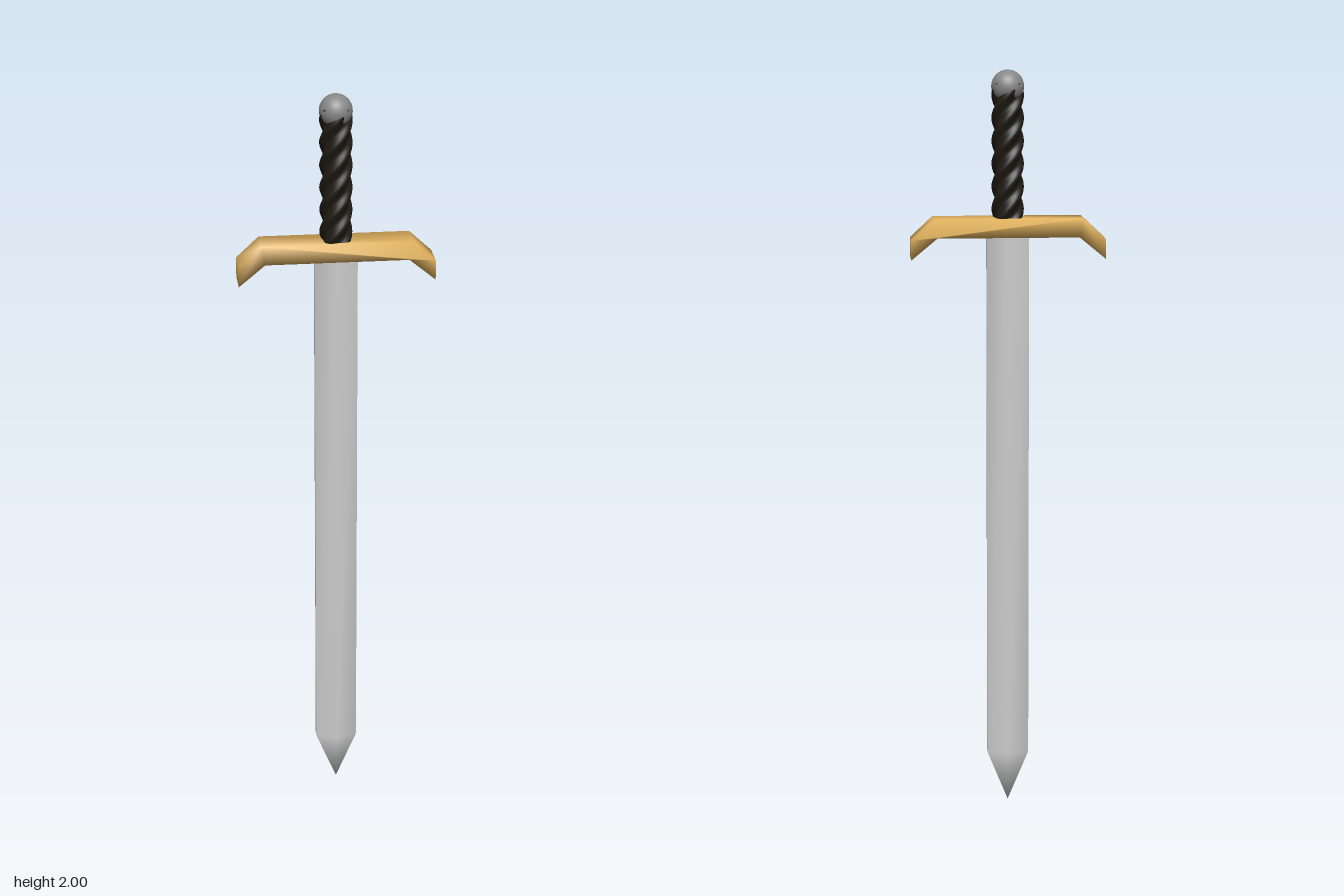
import * as THREE from 'three';
import { mergeVertices } from 'three/addons/utils/BufferGeometryUtils.js';

const material = (color) => new THREE.MeshStandardMaterial({ color });

// Share vertices so shading runs smoothly across the edges
function smooth(geometry) {
  geometry.deleteAttribute('normal');
  geometry.deleteAttribute('uv');
  const merged = mergeVertices(geometry, 1e-4);
  merged.computeVertexNormals();
  return merged;
}

function add(group, name, geometry, color) {
  const mesh = new THREE.Mesh(geometry, material(color));
  mesh.name = name;
  group.add(mesh);
  return mesh;
}

// Six-sided blade section lofted from the guard to the shoulder, then to the point
function bladeGeometry() {
  const section = [[0.056, 0.011], [0, 0.029], [-0.056, 0.011], [-0.056, -0.011], [0, -0.029], [0.056, -0.011]];
  const n = section.length;
  const positions = [], index = [];
  for (const y of [1.58, 0.14]) for (const [x, z] of section) positions.push(x, y, z);
  positions.push(0, 0, 0, 0, 1.58, 0);
  const tip = 2 * n, cap = tip + 1;
  for (let i = 0; i < n; i++) {
    const j = (i + 1) % n;
    index.push(i, n + j, n + i, i, j, n + j);
    index.push(n + i, n + j, tip);
    index.push(cap, j, i);
  }
  // Section runs clockwise seen from above, so reverse each face to point outward
  for (let k = 0; k < index.length; k += 3) [index[k + 1], index[k + 2]] = [index[k + 2], index[k + 1]];
  const geometry = new THREE.BufferGeometry();
  geometry.setAttribute('position', new THREE.Float32BufferAttribute(positions, 3));
  geometry.setIndex(index);
  geometry.computeVertexNormals();
  return geometry;
}

// Crossguard: mirrored bar outline with drooping ends, extruded in depth
function guardGeometry() {
  const half = [[0.187, 1.565], [0.256, 1.508], [0.256, 1.56], [0.197, 1.615]];
  const mirrored = half.map(([x, y]) => [-x, y]).reverse();
  const shape = new THREE.Shape([...half, ...mirrored].map(([x, y]) => new THREE.Vector2(x, y)));
  const geometry = new THREE.ExtrudeGeometry(shape, { depth: 0.084, bevelEnabled: false });
  geometry.translate(0, 0, -0.042);
  return smooth(geometry);
}

// Grip: a cylinder with four strands twisted around the axis
function gripGeometry() {
  const y0 = 1.61, y1 = 1.966, strands = 4, bumps = 6;
  const geometry = new THREE.CylinderGeometry(1, 1, y1 - y0, 48, 96);
  geometry.translate(0, (y0 + y1) / 2, 0);
  const p = geometry.attributes.position;
  for (let i = 0; i < p.count; i++) {
    const x = p.getX(i), y = p.getY(i), z = p.getZ(i);
    const twist = 2 * Math.PI * bumps * (y - y0 - 0.03) / (y1 - y0);
    const r = 0.038 + 0.0045 * Math.cos(strands * Math.atan2(z, x) + twist);
    p.setXYZ(i, x * r, y, z * r);
  }
  return smooth(geometry);
}

export function createModel() {
  const sword = new THREE.Group();
  sword.name = 'sword';

  const blade = bladeGeometry();
  // Make sure the faces point away from the axis
  const normal = blade.attributes.normal;
  if (normal.getZ(1) < 0) {
    const idx = Array.from(blade.index.array).reverse();
    blade.setIndex(idx);
    blade.computeVertexNormals();
  }
  add(sword, 'blade', blade, 0xcccccc);
  add(sword, 'crossguard', guardGeometry(), 0xdcae5c);
  add(sword, 'grip', gripGeometry(), 0x1f1b14);

  // Rounded pommel
  const pommel = add(sword, 'pommel', new THREE.SphereGeometry(0.043, 32, 20), 0x888888);
  pommel.position.y = 1.957;

  return sword;
}
